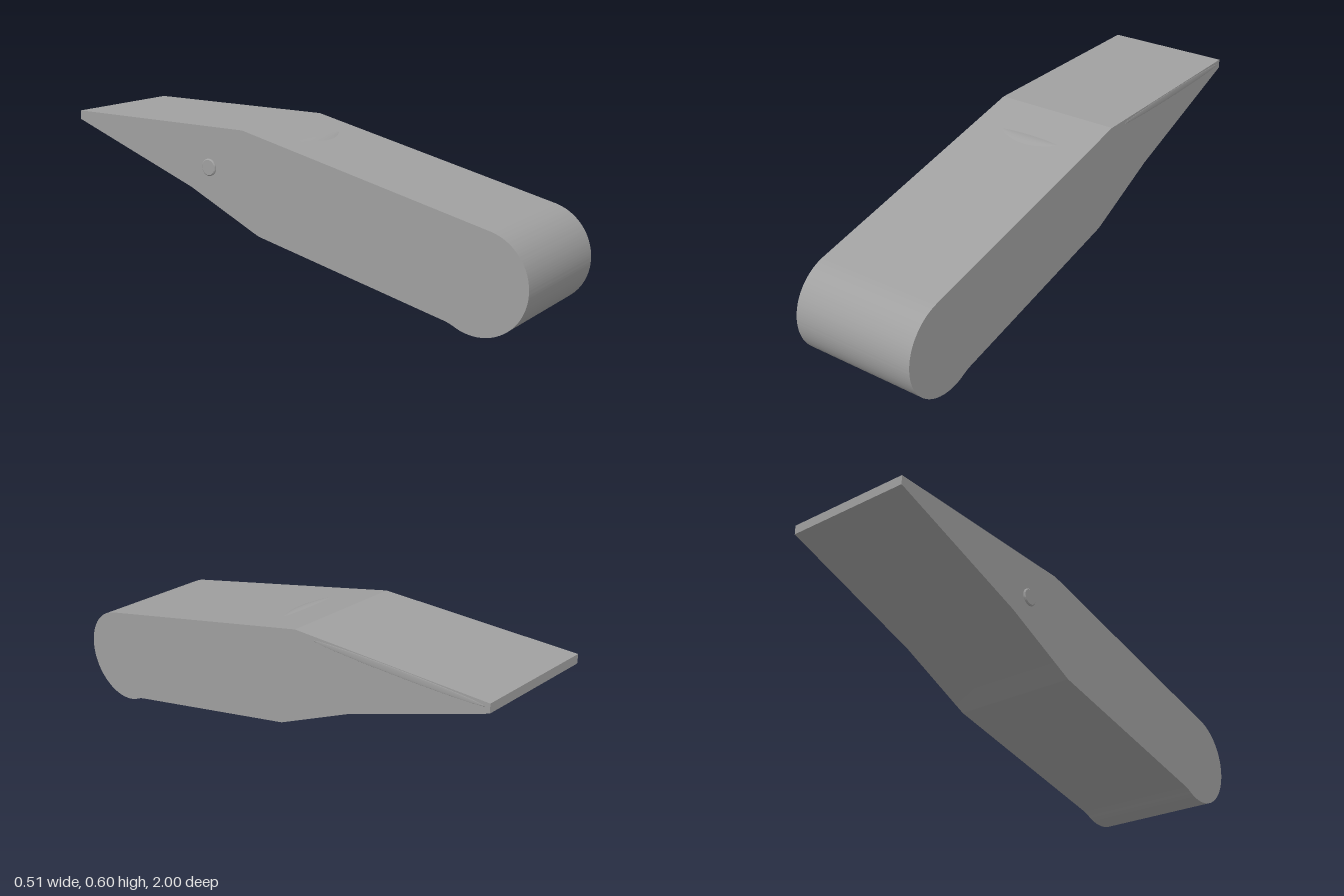
import * as THREE from 'three';
import { toCreasedNormals } from 'three/addons/utils/BufferGeometryUtils.js';
import { ParametricGeometry } from 'three/addons/geometries/ParametricGeometry.js';

const material = new THREE.MeshStandardMaterial({ color: 0xa0a0a0 });

function addPart(group, name, geometry, x = 0, y = 0, z = 0) {
  const mesh = new THREE.Mesh(geometry, material);
  mesh.name = name;
  mesh.position.set(x, y, z);
  group.add(mesh);
  return mesh;
}

// Height of the sloping top face at a given z
const slopeHeight = (z) => 0.6 - 0.2251 * (z + 0.17);

// Low crescent swelling on the slope: curved front edge, straight back edge
function ridgePoint(u, v, target) {
  const s = 2 * u - 1;
  const fade = 1 - s * s;
  const z = THREE.MathUtils.lerp(0.007 + 0.04 * fade, -0.008 * fade, v);
  target.set(0.127 * s, slopeHeight(z) - 0.0002 + 0.0045 * fade * Math.sin(Math.PI * v), z);
}

export function createModel() {
  const model = new THREE.Group();
  model.name = 'wedgeHandle';

  // Body: side profile drawn as (z, y), with a round front end and a thin back lip
  const profile = new THREE.Shape();
  profile.moveTo(0.69, 0.0337);
  profile.lineTo(-0.1, 0.209);
  profile.lineTo(-0.42, 0.357);
  profile.lineTo(-1, 0.565);
  profile.lineTo(-1, 0.6);
  profile.lineTo(-0.17, 0.6);
  // Round end, then a soft blend into the underside
  profile.absarc(0.813, 0.187, 0.187, 1.35, -2.0, true);
  profile.quadraticCurveTo(0.713, 0.0285, 0.69, 0.0337);
  const body = new THREE.ExtrudeGeometry(profile, { depth: 0.498, bevelEnabled: false, curveSegments: 64 });
  body.rotateY(-Math.PI / 2);
  addPart(model, 'body', toCreasedNormals(body, 0.15), 0.251);

  // Shallow thumb ridge on the sloping top
  addPart(model, 'thumbRidge', new ParametricGeometry(ridgePoint, 40, 16));

  // Round side button with a softened rim
  const buttonProfile = [[0, -0.004], [0.033, -0.004], [0.033, 0.003], [0.029, 0.0065], [0, 0.0065]]
    .map(([r, h]) => new THREE.Vector2(r, h));
  const button = new THREE.LatheGeometry(buttonProfile, 40);
  button.rotateZ(Math.PI / 2);
  addPart(model, 'sideButton', toCreasedNormals(button, 0.5), -0.247, 0.444, -0.33);

  // Barely raised, rounded strip along the upper edge of the opposite side
  const strip = addPart(model, 'sideStrip', new THREE.SphereGeometry(1, 32, 24), 0.251, 0.584, -0.62);
  strip.scale.set(0.0015, 0.013, 0.36);

  return model;
}
